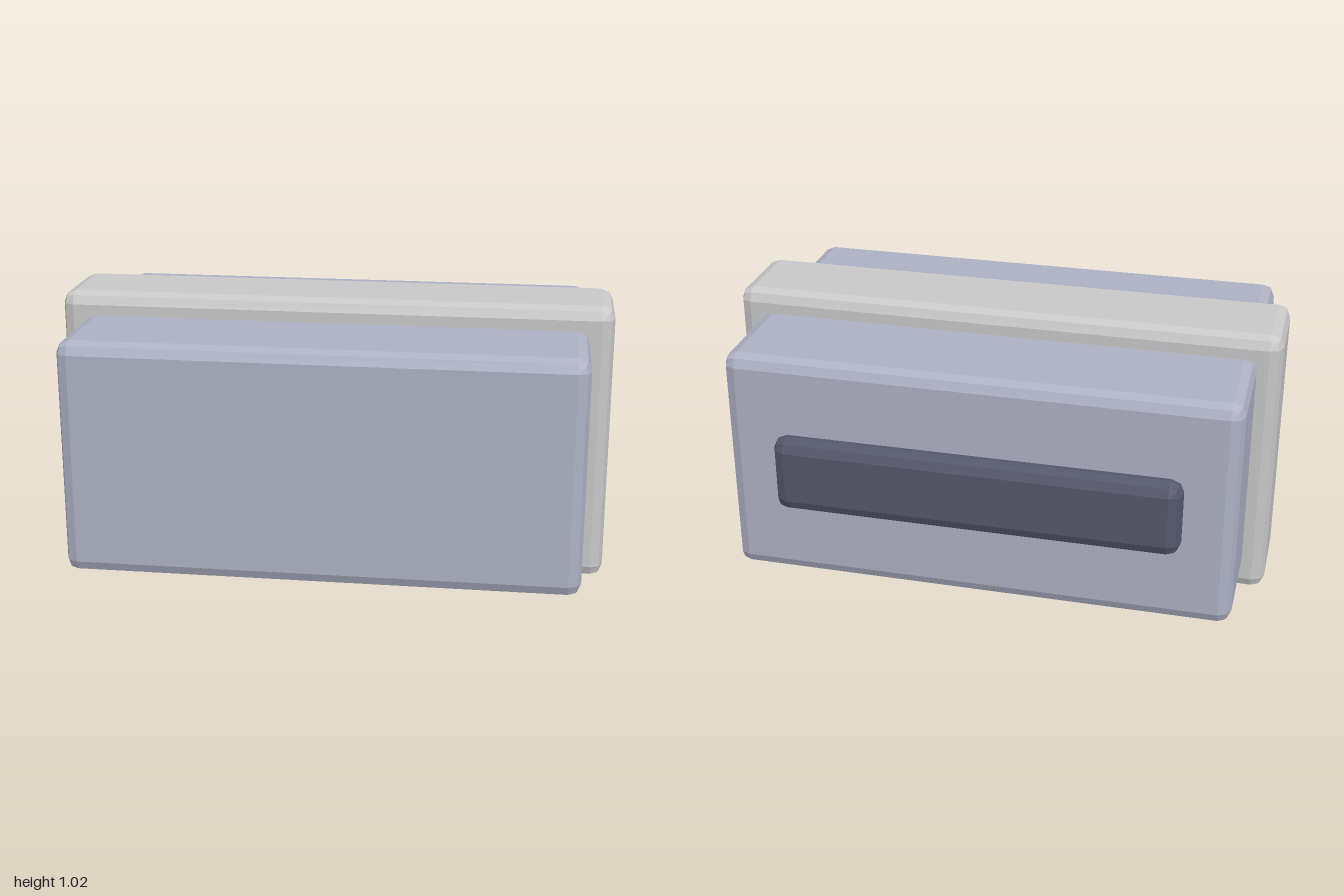
import * as THREE from 'three';
import { RoundedBoxGeometry } from 'three/addons/geometries/RoundedBoxGeometry.js';

const BEVEL = 0.045;

function material(name, color) {
  const m = new THREE.MeshStandardMaterial({ color });
  m.name = name;
  return m;
}

// Box with a two-facet bevel, symmetric in x, given by its y and z limits
function bevelledBox(name, mat, width, [y0, y1], [z0, z1]) {
  const geometry = new RoundedBoxGeometry(width, y1 - y0, z1 - z0, 1, BEVEL).toNonIndexed();
  geometry.computeVertexNormals(); // unshared corners give flat facets
  const mesh = new THREE.Mesh(geometry, mat);
  mesh.name = name;
  mesh.position.set(0, (y0 + y1) / 2, (z0 + z1) / 2);
  return mesh;
}

export function createModel() {
  const group = new THREE.Group();
  group.name = 'bandedBlock';

  const blue = material('blue grey', 0xaeb1c4);
  const grey = material('light grey', 0xc8c8c9);
  const dark = material('dark slate', 0x54576b);

  group.add(
    // main block
    bevelledBox('body', blue, 1.83, [0.085, 0.938], [-0.538, 0.6]),
    // raised belt around the middle
    bevelledBox('band', grey, 2, [0, 1.022], [-0.148, 0.213]),
    // long bar sunk into the back face
    bevelledBox('backBar', dark, 1.46, [0.371, 0.653], [-0.6, -0.46]),
  );
  return group;
}
